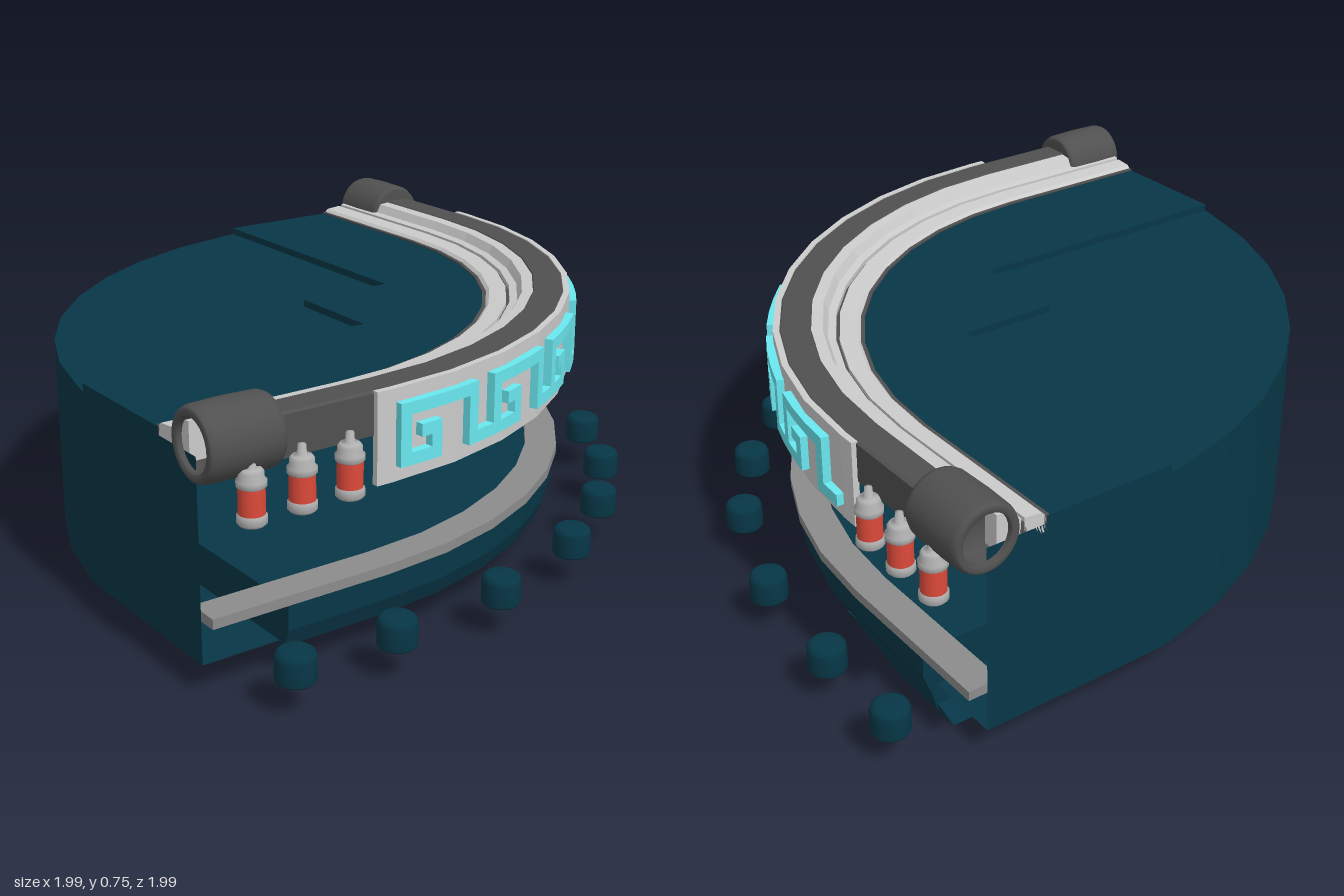
import * as THREE from 'three';
import { mergeGeometries } from 'three/addons/utils/BufferGeometryUtils.js';
import { ConvexGeometry } from 'three/addons/geometries/ConvexGeometry.js';

const C = -0.47; // x and z of the counter's arc centre
const END = -0.98; // where both straight ends stop
const WALL = 0.758; // how far the back wall reaches round each end
const TOP = 0.622; // height of the back wall

const paint = (color, flat = true) =>
  new THREE.MeshStandardMaterial({ color, flatShading: flat, side: THREE.DoubleSide });
const teal = paint(0x073646), dark = paint(0x505050), grey = paint(0xcccccc);
const trim = paint(0x8c8c8c), cyan = paint(0x6ae8f0);
const smoothDark = paint(0x505050, false), smoothTeal = paint(0x073646, false);
const smoothGrey = paint(0xb0b0b0, false), red = paint(0xdd4a3a, false);

function add(parent, name, geometry, material) {
  const mesh = new THREE.Mesh(geometry, material);
  mesh.name = name;
  parent.add(mesh);
  return mesh;
}

// A station maps a radius to a point in plan: origin + direction * radius
function arcStations(from, to, steps) {
  return Array.from({ length: steps + 1 }, (_, i) => {
    const a = THREE.MathUtils.degToRad(from + ((to - from) * i) / steps);
    return { ox: C, oz: C, dx: Math.sin(a), dz: Math.cos(a) };
  });
}

// Straight end, quarter arc, straight end
const counterPath = (end = END) => [
  { ox: end, oz: C, dx: 0, dz: 1 },
  ...arcStations(0, 90, 10),
  { ox: C, oz: end, dx: 1, dz: 0 },
];

// Sweep a closed counter-clockwise (radius, height) profile along stations
function sweep(profile, stations) {
  const n = profile.length, pos = [], index = [];
  for (const s of stations)
    for (const [r, y] of profile) pos.push(s.ox + s.dx * r, y, s.oz + s.dz * r);
  for (let s = 0; s < stations.length - 1; s++)
    for (let p = 0; p < n; p++) {
      const q = (p + 1) % n, a = s * n, b = a + n;
      index.push(a + p, b + p, b + q, a + p, b + q, a + q);
    }
  const last = (stations.length - 1) * n;
  const caps = THREE.ShapeUtils.triangulateShape(profile.map(p => new THREE.Vector2(...p)), []);
  for (const [a, b, c] of caps) index.push(a, b, c, last + a, last + c, last + b);
  const g = new THREE.BufferGeometry();
  g.setAttribute('position', new THREE.Float32BufferAttribute(pos, 3));
  g.setIndex(index);
  const flat = g.toNonIndexed();
  flat.computeVertexNormals();
  return flat;
}

const band = (r0, r1, y0, y1) => [[r0, y0], [r1, y0], [r1, y1], [r0, y1]];
const lathe = (pts, sides) => new THREE.LatheGeometry(pts.map(p => new THREE.Vector2(...p)), sides);

// Plan outlines, as [x, z] points
const counterEdge = r => counterPath().map(s => [s.ox + s.dx * r, s.oz + s.dz * r]);
const backEdge = [[0.2, END]];
for (let a = 9; a <= 81; a += 9) {
  const t = THREE.MathUtils.degToRad(a);
  backEdge.push([0.38 - 1.372 * Math.sin(t), 0.38 - 1.372 * Math.cos(t)]);
}
backEdge.push([END, 0.2]);
const stepEdge = [[-0.1, 0.2], [-0.1, -0.1], [0.2, -0.1]];

// Level sheet facing up
function sheet(plan, y) {
  const shape = new THREE.Shape(plan.map(([x, z]) => new THREE.Vector2(x, -z)));
  return new THREE.ShapeGeometry(shape).rotateX(-Math.PI / 2).translate(0, y, 0);
}

// Upright sheet that follows a plan line
function wall(plan, y0, y1) {
  const g = new THREE.PlaneGeometry(1, y1 - y0, plan.length - 1, 1).translate(0, (y0 + y1) / 2, 0);
  const p = g.attributes.position;
  for (let i = 0; i < p.count; i++) {
    const [x, z] = plan[i % plan.length];
    p.setX(i, x).setZ(i, z);
  }
  g.computeVertexNormals();
  return g;
}

// Raised key-pattern frieze, as runs of curved blocks
function friezeGeometry() {
  const rows = ['########..', '#......#..', '#.##...#..', '#..#...#..', '####...###'];
  const cell = 1.45, blocks = [];
  for (const start of [0.3, 46.5])
    rows.forEach((row, j) => {
      const top = 0.668 - j * 0.033;
      for (const run of row.repeat(3).matchAll(/#+/g)) {
        const a = start + run.index * cell;
        const stations = arcStations(a, a + run[0].length * cell, Math.ceil(run[0].length / 3));
        blocks.push(sweep(band(1.285, 1.322, top - 0.033, top), stations));
      }
    });
  return mergeGeometries(blocks);
}

function canister(x, z) {
  const g = new THREE.Group();
  g.name = 'canister';
  add(g, 'canisterBase', lathe([[0, 0.46], [0.03, 0.46], [0.037, 0.467], [0.037, 0.485], [0.03, 0.492]], 16), smoothGrey);
  add(g, 'canisterTank', new THREE.CylinderGeometry(0.033, 0.033, 0.07, 16).translate(0, 0.523, 0), red);
  add(g, 'canisterCap', lathe([[0.03, 0.552], [0.037, 0.558], [0.037, 0.572], [0.031, 0.578], [0.031, 0.592],
    [0.025, 0.6], [0.012, 0.603], [0.01, 0.628], [0, 0.63]], 16), smoothGrey);
  g.position.set(x, 0, z);
  return g;
}

export function createModel() {
  const model = new THREE.Group();
  model.name = 'curvedCounter';

  // Open-fronted shell: floor and back wall
  add(model, 'floor', sheet([...counterEdge(1.228), ...backEdge], 0.088), teal);
  add(model, 'backWall', wall([[WALL, END], ...backEdge, [END, WALL]], 0.088, TOP), teal);

  // Top in two parts, the front one a slightly raised slab with a stepped edge
  const slab = [...counterEdge(1.055), [0.2, END], ...stepEdge.toReversed(), [END, 0.2]];
  add(model, 'topFront', mergeGeometries([sheet(slab, 0.643), wall([...slab, slab[0]], TOP, 0.643)]), teal);
  add(model, 'topBack', sheet([...backEdge, ...stepEdge], TOP), teal);

  // Front plinth and foot ledge
  add(model, 'plinth', sweep([[0.8, 0.08], [1.25, 0.08], [1.268, 0.13], [1.268, 0.206], [0.8, 0.206]],
    counterPath(-0.76)), teal);
  add(model, 'footLedge', sweep(band(1.19, 1.282, 0.205, 0.232), counterPath()), trim);

  // Stepped worktop rising to the dark rail
  add(model, 'worktopLip', sweep(band(1.05, 1.062, 0.6, 0.648), counterPath()), dark);
  add(model, 'worktopLower', sweep([[1.06, 0.6], [1.12, 0.6], [1.12, 0.662], [1.07, 0.657], [1.06, 0.647]],
    counterPath()), grey);
  add(model, 'worktopGroove', sweep(band(1.115, 1.135, 0.6, 0.65), counterPath()), dark);
  add(model, 'worktopUpper', sweep([[1.13, 0.6], [1.2, 0.6], [1.2, 0.7], [1.165, 0.696], [1.152, 0.67], [1.13, 0.665]],
    counterPath()), grey);
  add(model, 'rail', sweep([[1.19, 0.59], [1.288, 0.59], [1.288, 0.698], [1.28, 0.703], [1.2, 0.703], [1.19, 0.692]],
    counterPath(-0.9)), dark);

  // Thin curved front panel with its frieze
  add(model, 'frontPanel', sweep(band(1.284, 1.302, 0.462, 0.704), counterPath(-0.52)), grey);
  add(model, 'frieze', friezeGeometry(), cyan);

  // Hollow drum on each rail end
  const drum = lathe([[0, -0.105], [0.082, -0.105], [0.09, -0.102], [0.095, -0.088], [0.097, 0],
    [0.095, 0.085], [0.09, 0.099], [0.084, 0.102], [0.07, 0.102], [0.068, 0.095], [0.068, 0.04], [0, 0.04]], 28);
  const leftDrum = add(model, 'railDrum', drum, smoothDark);
  leftDrum.position.set(-0.895, 0.655, 0.765);
  leftDrum.rotation.z = Math.PI / 2;
  const rightDrum = add(model, 'railDrum', drum, smoothDark);
  rightDrum.position.set(0.765, 0.655, -0.895);
  rightDrum.rotation.x = -Math.PI / 2;

  // Canisters and stools mirror across the diagonal
  for (const t of [-0.885, -0.745, -0.608]) model.add(canister(t, 0.842), canister(0.842, t));

  const stool = lathe([[0, 0.088], [0.048, 0.088], [0.052, 0.094], [0.052, 0.15], [0.048, 0.163], [0.038, 0.17], [0, 0.171]], 20);
  for (const [a, b] of [[-0.838, 0.945], [-0.54, 0.945], [-0.183, 0.915], [0.168, 0.8], [0.425, 0.635]]) {
    add(model, 'stool', stool, smoothTeal).position.set(a, 0, b);
    add(model, 'stool', stool, smoothTeal).position.set(b, 0, a);
  }

  // Sloped foot under one end, with a thin toe
  const hull = pts => new ConvexGeometry(pts.map(p => new THREE.Vector3(...p)));
  add(model, 'foot', hull([[0.49, 0.09, -0.37], [0.78, 0.09, -0.37], [0.49, 0.09, -0.76], [0.78, 0.09, -0.76],
    [0.51, 0, -0.59], [0.755, 0, -0.59], [0.51, 0, -0.76], [0.755, 0, -0.76]]), teal);
  add(model, 'footToe', hull([[0.51, 0, -0.75], [0.755, 0, -0.75], [0.51, 0.025, -0.75], [0.755, 0.025, -0.75],
    [0.51, 0, -0.83], [0.755, 0, -0.83]]), teal);

  return model;
}
